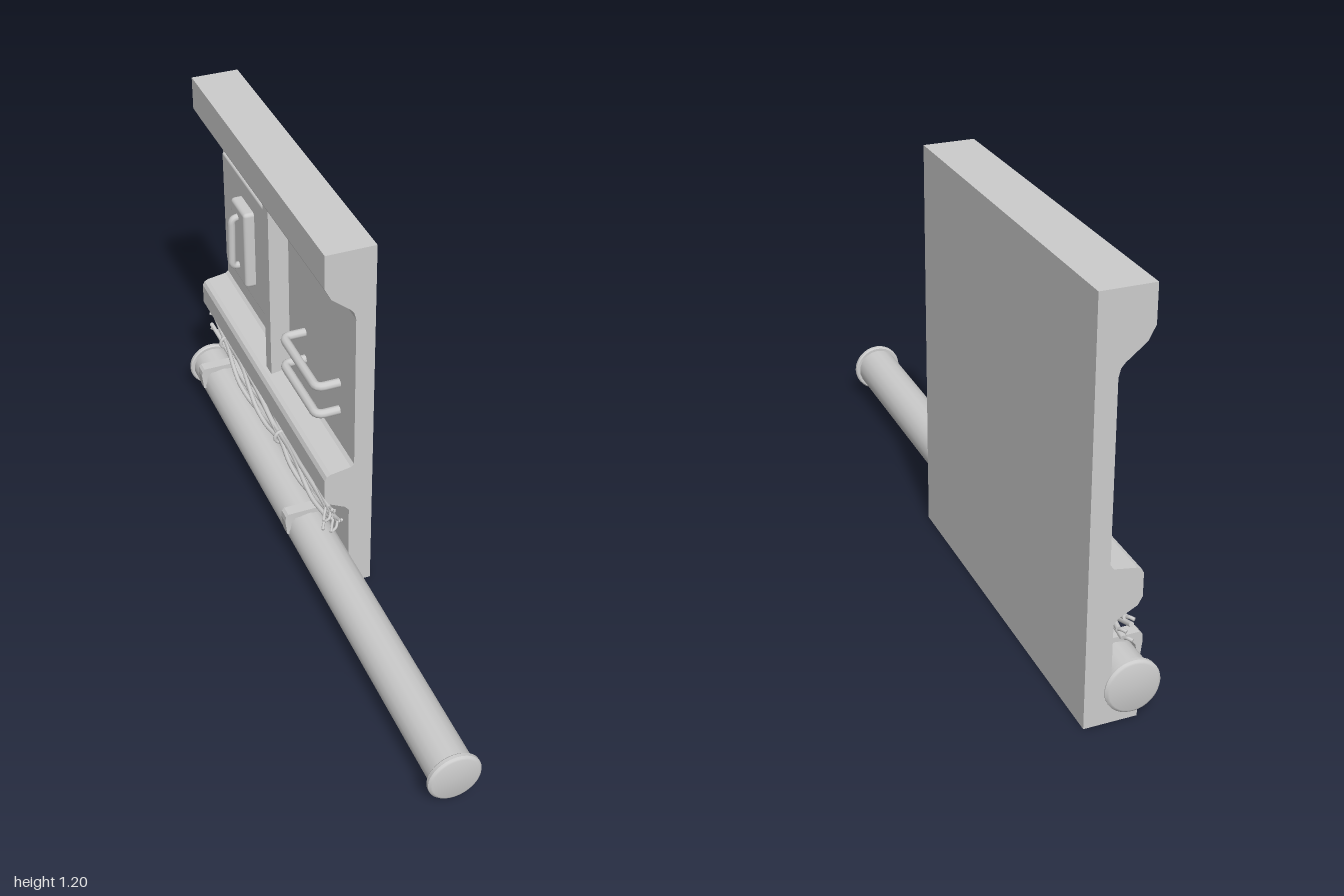
import * as THREE from 'three';
import { RoundedBoxGeometry } from 'three/addons/geometries/RoundedBoxGeometry.js';
import { toCreasedNormals } from 'three/addons/utils/BufferGeometryUtils.js';

const mat = new THREE.MeshStandardMaterial({ color: 0xcccccc });
const v = (x, y, z) => new THREE.Vector3(x, y, z);

function add(parent, name, geometry, x = 0, y = 0, z = 0) {
  const mesh = new THREE.Mesh(geometry, mat);
  mesh.name = name;
  mesh.position.set(x, y, z);
  parent.add(mesh);
  return mesh;
}

// Outline in x and y, extruded along z and sitting between z0 and z1
function extrude(points, z0, z1) {
  const shape = new THREE.Shape(points.map(([x, y]) => new THREE.Vector2(x, y)));
  const g = new THREE.ExtrudeGeometry(shape, { depth: z1 - z0, bevelEnabled: false });
  return g.translate(0, 0, z0);
}

// Round bar with softened corners, through a few points
function barGeometry(points, radius, corner) {
  const path = new THREE.CurvePath();
  let last = points[0];
  for (let i = 1; i < points.length - 1; i++) {
    const p = points[i];
    const a = p.clone().add(points[i - 1].clone().sub(p).setLength(corner));
    const b = p.clone().add(points[i + 1].clone().sub(p).setLength(corner));
    path.add(new THREE.LineCurve3(last, a));
    path.add(new THREE.QuadraticBezierCurve3(a, p, b));
    last = b;
  }
  path.add(new THREE.LineCurve3(last, points[points.length - 1]));
  return new THREE.TubeGeometry(path, 48, radius, 10);
}

// Cable with end discs
function cable(parent, name, points, radius) {
  const curve = new THREE.CatmullRomCurve3(points);
  add(parent, name, new THREE.TubeGeometry(curve, points.length * 5, radius, 7));
  for (const t of [0, 1]) {
    const disc = add(parent, name + 'End', new THREE.CircleGeometry(radius, 7));
    const p = curve.getPointAt(t);
    const dir = curve.getTangentAt(t).multiplyScalar(t ? 1 : -1);
    disc.position.copy(p);
    disc.quaternion.setFromUnitVectors(v(0, 0, 1), dir);
  }
}

export function createModel() {
  const model = new THREE.Group();
  model.name = 'wallPanelWithPipe';

  // Wall panel with overhang, mid ledge and foot
  const profile = [
    [0.105, 0], [0.105, 1.195], [-0.045, 1.195], [-0.045, 1.09], [-0.025, 1.052],
    [0.03, 1.008], [0.041, 0.995], [0.047, 0.972], [0.047, 0.465], [0.037, 0.457],
    [-0.026, 0.447], [-0.038, 0.441], [-0.045, 0.428], [-0.045, 0.36], [-0.032, 0.337],
    [0.02, 0.31], [0.032, 0.295], [0.032, 0.08], [-0.045, 0.03], [-0.045, 0],
  ];
  add(model, 'wallPanel', extrude(profile, -0.99, 0.117));

  // Upright rib dividing the recess
  add(model, 'rib', new THREE.BoxGeometry(0.08, 0.6, 0.045), 0.025, 0.74, -0.425);

  // Access plate with raised block and handle
  const hatch = new THREE.Group();
  hatch.name = 'hatch';
  model.add(hatch);
  add(hatch, 'hatchPlate', new RoundedBoxGeometry(0.03, 0.4, 0.45, 2, 0.008), 0.046, 0.74, -0.73);
  add(hatch, 'handleBlock', new RoundedBoxGeometry(0.05, 0.27, 0.125, 2, 0.012), 0.022, 0.74, -0.72);
  add(hatch, 'handle', barGeometry(
    [v(0.01, 0.835, -0.72), v(-0.022, 0.835, -0.72), v(-0.026, 0.66, -0.72), v(0.01, 0.66, -0.72)],
    0.012, 0.02));

  // Two grab rails
  for (const y of [0.678, 0.58]) {
    add(model, 'grabRail', barGeometry(
      [v(0.06, y, -0.27), v(-0.023, y, -0.27), v(-0.023, y, 0), v(0.06, y, 0)], 0.014, 0.025));
  }

  // Long pipe with an end cap at each end
  const pipe = new THREE.Group();
  pipe.name = 'pipe';
  pipe.position.set(-0.028, 0.098, 0);
  model.add(pipe);
  add(pipe, 'pipeBody', new THREE.CylinderGeometry(0.066, 0.066, 1.97, 18).rotateX(Math.PI / 2));
  const capProfile = [[0, 0], [0.074, 0], [0.078, 0.004], [0.078, 0.014], [0.074, 0.019], [0.069, 0.021], [0, 0.021]]
    .map(([r, h]) => new THREE.Vector2(r, h));
  for (const side of [1, -1]) {
    const cap = add(pipe, 'pipeCap',
      toCreasedNormals(new THREE.LatheGeometry(capProfile, 32), 0.6), 0, 0, side * 0.979);
    cap.rotation.x = side * Math.PI / 2;
  }

  // Hooked brackets holding the pipe
  const hook = [
    [0.04, 0.178], [-0.096, 0.178], [-0.104, 0.17], [-0.106, 0.15], [-0.1, 0.1],
    [-0.091, 0.1], [-0.086, 0.14], [-0.072, 0.158], [0.005, 0.16], [0.04, 0.125],
  ].reverse();
  for (const z of [-0.873, -0.07]) add(model, 'bracket', extrude(hook, z - 0.018, z + 0.018));

  // Loose bundle of cables, gathered by ties and frayed at both ends
  const bundle = new THREE.Group();
  bundle.name = 'cableBundle';
  model.add(bundle);
  const count = 6, steps = 14;
  for (let i = 0; i < count; i++) {
    const a = (i / count) * Math.PI * 2;
    const points = [];
    for (let k = 0; k <= steps; k++) {
      const t = k / steps;
      const spread = 0.25 + 0.75 * Math.abs(Math.sin(Math.PI * (t * 2 - 0.2)));
      const twist = a + t * 5 + Math.sin(t * 9 + i * 2) * 0.5;
      points.push(v(
        -0.008 + Math.cos(twist) * 0.026 * spread,
        0.268 - 0.03 * Math.sin(Math.PI * t) + Math.sin(twist) * 0.045 * spread,
        -0.975 + t * (1.05 + 0.03 * Math.sin(i * 2.4))));
    }
    cable(bundle, 'cable', points, 0.0075);
    // Frayed strands
    const end = points[steps], start = points[0];
    for (const s of [-1, 1]) {
      cable(bundle, 'strand', [end.clone(),
        v(end.x + s * 0.008 - 0.005, end.y + s * 0.01, end.z + 0.02),
        v(end.x + s * 0.014 - 0.01, end.y + s * 0.018, Math.min(0.118, end.z + 0.04))], 0.0045);
    }
    if (i % 2 === 0) {
      cable(bundle, 'strand', [start.clone(), v(start.x - 0.004, start.y + 0.004, -0.985),
        v(start.x - 0.012, start.y + 0.002, -0.996)], 0.005);
    }
  }
  for (const [y, z] of [[0.26, -0.87], [0.24, -0.345]]) {
    add(bundle, 'cableTie', new THREE.TorusGeometry(0.021, 0.006, 8, 16), -0.008, y, z);
  }
  return model;
}
